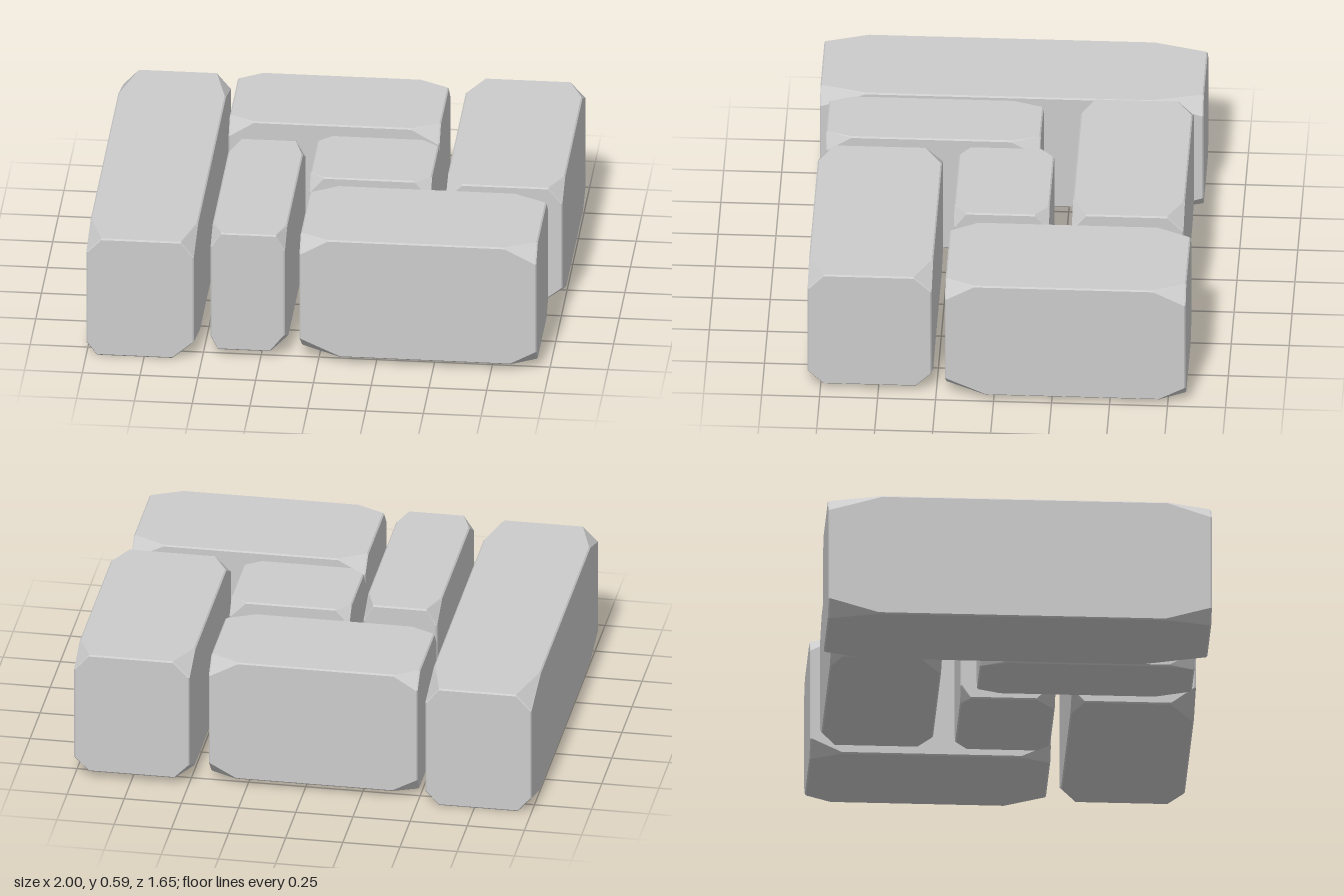
import * as THREE from 'three';
import { ConvexGeometry } from 'three/addons/geometries/ConvexGeometry.js';

// Corner signs followed by the share of width, height and depth cut off there
const CORNERS = [
  [-1, 1, 1, 0.12, 0.13, 0.12],
  [1, 1, 1, 0.135, 0.13, 0.13],
  [-1, 1, -1, 0.115, 0.12, 0.14],
  [1, 1, -1, 0.14, 0.13, 0.145],
  [-1, -1, 1, 0.17, 0.145, 0.2],
  [1, -1, 1, 0.11, 0.115, 0.13],
  [-1, -1, -1, 0.12, 0.11, 0.1],
  [1, -1, -1, 0.13, 0.12, 0.13],
];
const BEVEL = 0.006;

// Stone with clipped corners and a hairline bevel along every edge
function stoneGeometry(size) {
  const points = [];
  for (const corner of CORNERS) {
    for (let along = 0; along < 3; along++) {
      for (let side = 1; side < 3; side++) {
        const p = size.map((s) => s / 2);
        p[along] -= size[along] * corner[3 + along];
        p[(along + side) % 3] -= BEVEL;
        points.push(new THREE.Vector3(p[0] * corner[0], p[1] * corner[1], p[2] * corner[2]));
      }
    }
  }
  return new ConvexGeometry(points);
}

export function createModel() {
  const group = new THREE.Group();
  group.name = 'pavingStones';
  const material = new THREE.MeshStandardMaterial({ color: 0xcccccc, flatShading: true });

  // Name, x range, z range, bottom; stones longer in z are quarter-turned
  const stones = [
    ['longLeftStone', -1, -0.535, -0.828, 0.825, 0],
    ['backStone', -0.495, 0.418, -0.79, -0.308, 0.03],
    ['rightStone', 0.495, 1, -0.828, 0.21, 0.03],
    ['centreStone', -0.095, 0.43, -0.21, 0.2, 0.03],
    ['narrowStone', -0.467, -0.145, -0.145, 0.78, 0.03],
    ['frontStone', -0.08, 0.945, 0.27, 0.805, 0.03],
  ];
  const height = 0.56;
  for (const [name, x0, x1, z0, z1, y0] of stones) {
    const w = x1 - x0, d = z1 - z0, turned = d > w;
    const size = turned ? [d, height, w] : [w, height, d];
    const stone = new THREE.Mesh(stoneGeometry(size), material);
    stone.name = name;
    stone.position.set((x0 + x1) / 2, y0 + height / 2, (z0 + z1) / 2);
    if (turned) stone.rotation.y = Math.PI / 2;
    group.add(stone);
  }
  return group;
}
